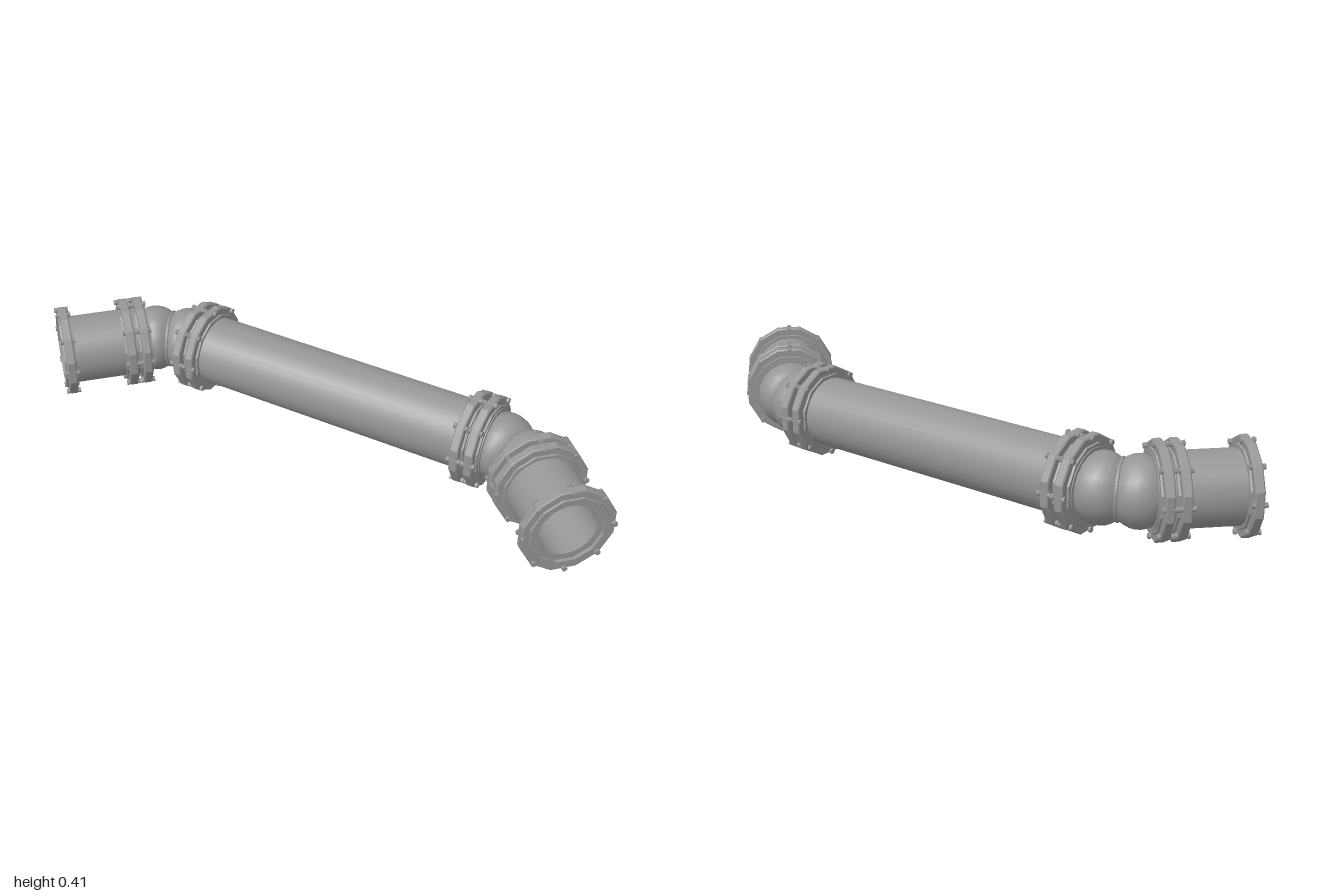
import * as THREE from 'three';
import { toCreasedNormals } from 'three/addons/utils/BufferGeometryUtils.js';
import { ParametricGeometry } from 'three/addons/geometries/ParametricGeometry.js';

const PIPE_R = 0.155, BORE_R = 0.125;
const BOLT_R = 0.194, BOLT_COUNT = 8;
const AXIS_Y = 0.2075;
const BEND = new THREE.Vector3(-0.465, 0, -0.795); // corner of the first bend
const ANGLE = Math.PI / 4;                         // each bend turns 45 degrees
const ELBOW = 0.12;                                // elbow reach either side of a bend

const steel = new THREE.MeshStandardMaterial({ color: 0x969696, side: THREE.DoubleSide });

function mesh(name, geometry) {
  const m = new THREE.Mesh(geometry, steel);
  m.name = name;
  return m;
}

// Closed ring profile of [radius, position], turned around the x axis
function ring(profile, segments, crease) {
  const pts = [...profile, profile[0]].map(([r, a]) => new THREE.Vector2(r, a));
  const g = new THREE.LatheGeometry(pts, segments).rotateZ(-Math.PI / 2);
  return toCreasedNormals(g, crease);
}

// Hollow pipe from x0 to x1
function pipe(name, x0, x1) {
  return mesh(name, ring([[BORE_R, x0], [PIPE_R, x0], [PIPE_R, x1], [BORE_R, x1]], 32, 0.6));
}

// Twelve-sided flange profile, turned so that a flat faces up
const flangeGeometry = ring([
  [0.156, -0.029], [0.172, -0.029], [0.174, -0.02], [0.202, -0.02], [0.207, -0.015],
  [0.207, 0.015], [0.202, 0.02], [0.174, 0.02], [0.172, 0.029], [0.156, 0.029],
], 12, 0.5).rotateX(Math.PI / 12);
const shankGeometry = new THREE.CylinderGeometry(0.007, 0.007, 0.06, 8).rotateZ(Math.PI / 2);
const headGeometry = new THREE.CylinderGeometry(0.0125, 0.0125, 0.012, 6).rotateZ(Math.PI / 2);

// Flange with its circle of bolts
function flange(x) {
  const g = new THREE.Group();
  g.name = 'flange';
  g.position.x = x;
  g.add(mesh('flangeRing', flangeGeometry));
  for (let i = 0; i < BOLT_COUNT; i++) {
    const a = (i / BOLT_COUNT) * Math.PI * 2;
    const bolt = new THREE.Group();
    bolt.name = 'bolt';
    bolt.position.set(0, Math.cos(a) * BOLT_R, Math.sin(a) * BOLT_R);
    bolt.rotation.x = a;
    bolt.add(mesh('boltShank', shankGeometry));
    for (const s of [-1, 1]) {
      const head = mesh('boltHead', headGeometry);
      head.position.x = s * 0.026;
      bolt.add(head);
    }
    g.add(bolt);
  }
  return g;
}

// Two flanges bolted face to face
function coupling(x) {
  const g = new THREE.Group();
  g.name = 'coupling';
  g.add(flange(x - 0.0335), flange(x + 0.0335));
  return g;
}

// Radius of a bulging elbow half at distance d from its middle
function bulge(d) {
  return Math.sqrt(0.151 ** 2 - 1.5 * d * d);
}

// Bulging shell between two planes whose tilt and offset vary along u
function bulgeSection(centre, tilt0, tilt1, d0, d1) {
  const surface = (u, v, target) => {
    const tilt = THREE.MathUtils.lerp(tilt0, tilt1, u);
    const d = THREE.MathUtils.lerp(d0, d1, u);
    const r = bulge(d);
    const a = v * Math.PI * 2;
    const side = r * Math.sin(a);
    target.set(
      centre.x + d * Math.cos(tilt) - side * Math.sin(tilt),
      r * Math.cos(a),
      centre.z + d * Math.sin(tilt) + side * Math.cos(tilt));
  };
  return mesh('elbowHalf', new ParametricGeometry(surface, 6, 20));
}

// Elbow of two bulging halves, meeting at a seam on the half-angle plane
function elbow() {
  const g = new THREE.Group();
  g.name = 'elbow';
  const off = 0.08, half = ANGLE / 2, seamD = off * Math.cos(half), endD = ELBOW - off + 0.005;
  const c0 = new THREE.Vector3(-off, 0, 0);
  const c1 = new THREE.Vector3(off * Math.cos(ANGLE), 0, off * Math.sin(ANGLE));
  g.add(bulgeSection(c0, 0, half, -endD, seamD));
  g.add(bulgeSection(c1, half, ANGLE, -seamD, endD));
  const seamGeometry = new THREE.TorusGeometry(bulge(seamD) + 0.003, 0.009, 8, 28);
  const seam = mesh('elbowSeam', seamGeometry.rotateY(Math.PI / 2));
  seam.position.copy(c0).add(c1).multiplyScalar(0.5);
  seam.rotation.y = -half;
  g.add(seam);
  return g;
}

// One end: short open pipe, elbow, and the couplings on both sides of it
function endArm() {
  const arm = new THREE.Group();
  arm.name = 'endArm';
  const straight = new THREE.Group();
  straight.name = 'endPipeSection';
  straight.position.copy(BEND);
  straight.add(pipe('endPipe', -0.515, -ELBOW), flange(-0.502), coupling(-0.187));
  const bend = elbow();
  bend.position.copy(BEND);
  const diagonal = new THREE.Group();
  diagonal.name = 'diagonalCoupling';
  diagonal.position.copy(BEND);
  diagonal.rotation.y = -ANGLE;
  diagonal.add(coupling(0.187));
  arm.add(straight, bend, diagonal);
  return arm;
}

export function createModel() {
  const model = new THREE.Group();
  model.name = 'bentPipe';
  const run = new THREE.Group();
  run.name = 'pipeRun';
  run.position.y = AXIS_Y;
  model.add(run);

  // Second end is the first one turned half over the crosswise diagonal
  const first = endArm();
  const second = endArm();
  second.quaternion.setFromAxisAngle(new THREE.Vector3(1, 0, -1).normalize(), Math.PI);
  run.add(first, second);

  // Long diagonal pipe between the bends
  const length = Math.SQRT2 * (-BEND.z - BEND.x);
  const main = pipe('mainPipe', ELBOW, length - ELBOW);
  main.position.copy(BEND);
  main.rotation.y = -ANGLE;
  run.add(main);
  return model;
}
